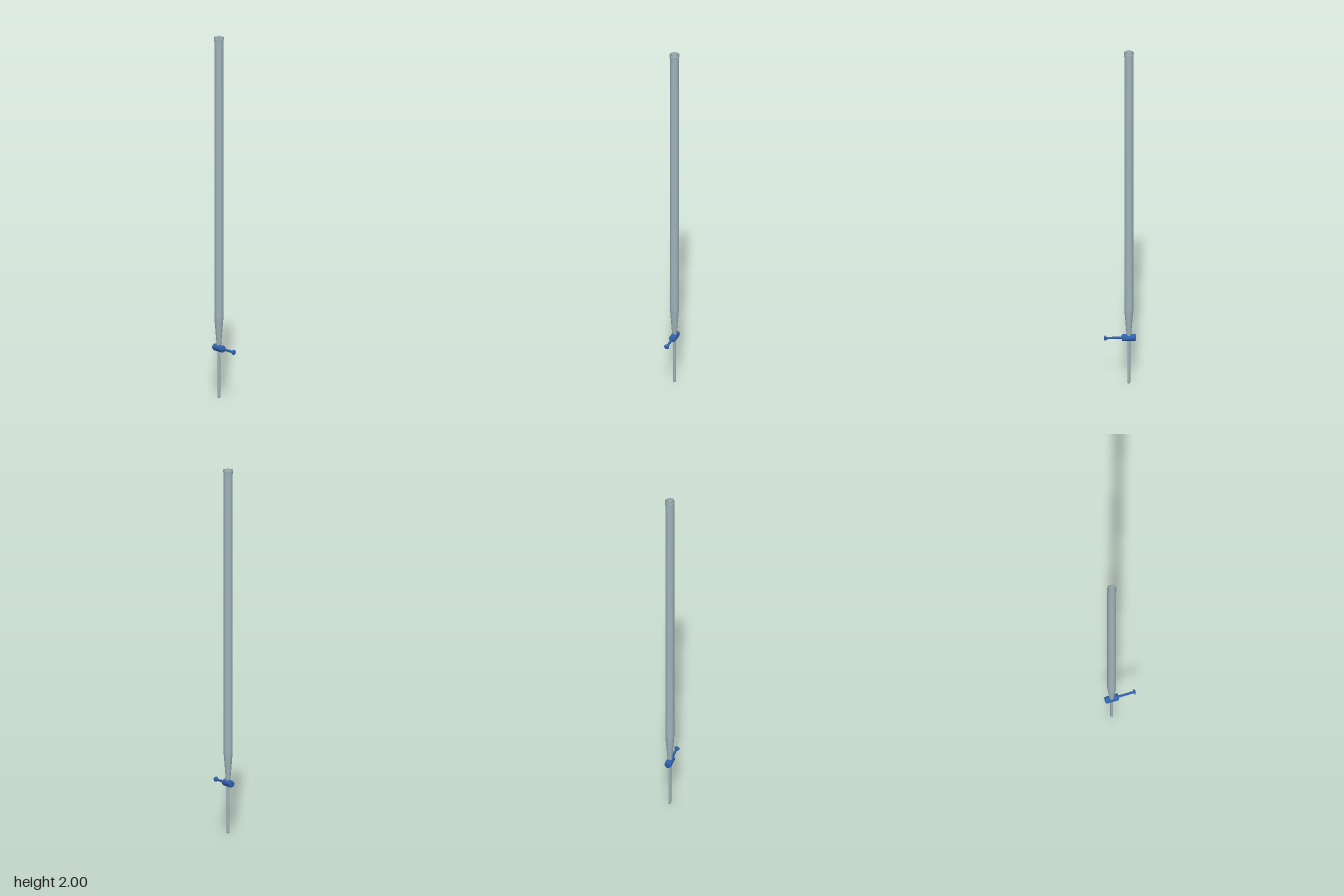
import * as THREE from 'three';

const AXIS_Z = -0.05; // vertical axis of the glass tube
const VALVE_Y = 0.275;

export function createModel() {
  const group = new THREE.Group();
  const glass = new THREE.MeshStandardMaterial({ color: 0x9fb4ba, side: THREE.DoubleSide });
  const blue = new THREE.MeshStandardMaterial({ color: 0x2f62ad });

  const lathe = (name, points, material, segments = 32) => {
    const profile = points.map(([r, y]) => new THREE.Vector2(r, y));
    const mesh = new THREE.Mesh(new THREE.LatheGeometry(profile, segments), material);
    mesh.name = name;
    group.add(mesh);
    return mesh;
  };

  // Hollow graduated tube: tapered foot, slightly flared rim, inner wall
  lathe('tube', [
    [0.011, 0.275], [0.0235, 0.43], [0.0245, 0.45], [0.0245, 1.97], [0.0265, 1.99], [0.0265, 2],
    [0.0215, 2], [0.0215, 1.97], [0.0215, 0.45], [0.0205, 0.43], [0.008, 0.285], [0, 0.285],
  ], glass).position.z = AXIS_Z;

  // Thin hollow outlet below the valve
  lathe('outletTip', [
    [0.004, 0.26], [0.004, 0], [0.007, 0], [0.008, 0.01], [0.008, 0.265],
  ], glass, 24).position.z = AXIS_Z;

  // Horizontal valve barrel with rounded ends
  const barrel = lathe('valveBarrel', [
    [0, -0.038], [0.014, -0.038], [0.0175, -0.0365], [0.019, -0.033],
    [0.019, 0.033], [0.0175, 0.0365], [0.014, 0.038], [0, 0.038],
  ], blue);
  barrel.rotation.x = Math.PI / 2;
  barrel.position.set(0, VALVE_Y, AXIS_Z);

  // Handle stem pointing to the front
  const stem = new THREE.Mesh(new THREE.CylinderGeometry(0.0065, 0.0065, 0.09, 20), blue);
  stem.name = 'handleStem';
  stem.rotation.x = Math.PI / 2;
  stem.position.set(0, VALVE_Y, 0.03);
  group.add(stem);

  // Flattened knob at the end of the stem
  const knob = new THREE.Mesh(new THREE.SphereGeometry(0.014, 24, 16), blue);
  knob.name = 'handleKnob';
  knob.scale.z = 0.5;
  knob.position.set(0, VALVE_Y, 0.078);
  group.add(knob);

  return group;
}
